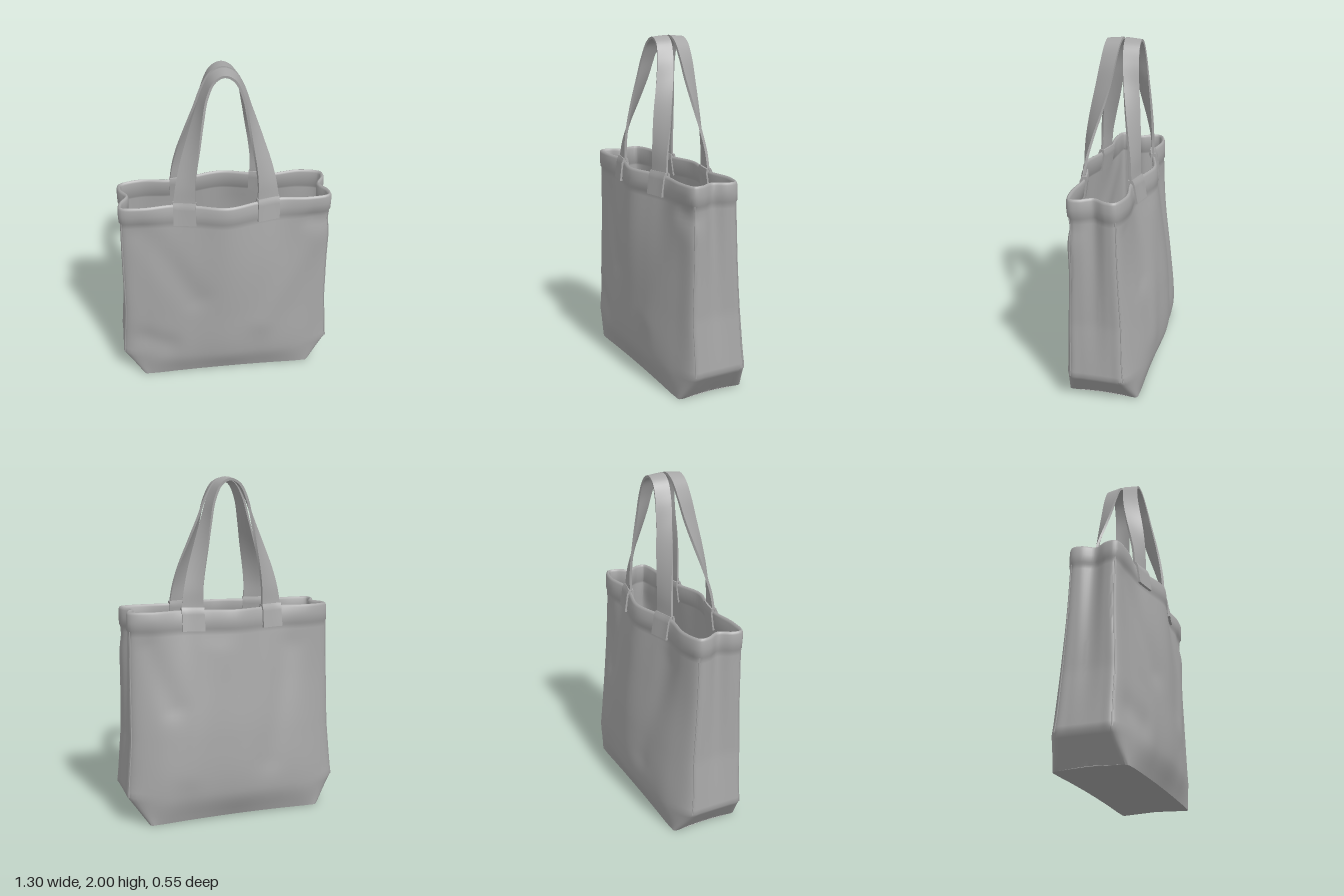
import * as THREE from 'three';
import { toCreasedNormals } from 'three/addons/utils/BufferGeometryUtils.js';

const canvas = new THREE.MeshStandardMaterial({ color: 0xa6a6a6 });
canvas.name = 'grey canvas';

// Half sections of the bag: height, front z at COLS, corner x, corner z,
// gusset dip, back corner z, back z at reversed COLS
const COLS = [0, 0.18, 0.3, 0.48];
const LEVELS = [
  [0, 0.21, 0.21, 0.21, 0.208, 0.53, 0.2, 0, -0.2, -0.208, -0.21, -0.21, -0.21],
  [0.17, 0.265, 0.255, 0.25, 0.22, 0.648, 0.165, 0, -0.148, -0.225, -0.25, -0.258, -0.27],
  [0.5, 0.27, 0.255, 0.24, 0.205, 0.62, 0.165, 0.012, -0.128, -0.195, -0.23, -0.245, -0.263],
  [0.85, 0.265, 0.24, 0.22, 0.19, 0.615, 0.157, 0.025, -0.108, -0.157, -0.178, -0.198, -0.225],
  [1.25, 0.24, 0.193, 0.167, 0.182, 0.608, 0.16, 0.042, -0.095, -0.134, -0.112, -0.138, -0.18],
];
const N = 24; // control points around each section

// Soft diagonal folds: side, start x y, end x y, width, depth
const FOLDS = [
  [1, -0.48, 1.08, -0.2, 0.62, 0.09, -0.013],
  [1, 0.52, 0.95, 0.22, 0.4, 0.09, 0.01],
  [1, -0.5, 0.3, -0.38, 0.26, 0.08, -0.013],
  [1, 0.5, 1.1, 0.58, 1.08, 0.05, -0.01],
  [-1, -0.35, 1.0, -0.2, 0.35, 0.09, -0.011],
  [-1, 0.12, 1.0, 0.3, 0.3, 0.09, 0.008],
  [-1, 0.5, 1.05, 0.38, 0.7, 0.07, -0.01],
];

function foldDepth(x, y, z) {
  let sum = 0;
  for (const [side, x0, y0, x1, y1, w, d] of FOLDS) {
    const dx = x1 - x0, dy = y1 - y0;
    const t = THREE.MathUtils.clamp(((x - x0) * dx + (y - y0) * dy) / (dx * dx + dy * dy), 0, 1);
    const dist = Math.hypot(x - x0 - t * dx, y - y0 - t * dy);
    sum += d * Math.exp(-((dist / w) ** 2)) * THREE.MathUtils.smoothstep(side * z, 0.04, 0.16);
  }
  return sum;
}

// Smooth value of one level column at height y (the corner x stays straight)
function column(k, y) {
  let i = 0;
  while (i < LEVELS.length - 2 && y > LEVELS[i + 1][0]) i++;
  const a = LEVELS[i], b = LEVELS[i + 1], h = b[0] - a[0], t = (y - a[0]) / h;
  if (k === 5) return THREE.MathUtils.lerp(a[k], b[k], t);
  const p = LEVELS[Math.max(i - 1, 0)], q = LEVELS[Math.min(i + 2, LEVELS.length - 1)];
  const ma = h * (b[k] - p[k]) / (b[0] - p[0]), mb = h * (q[k] - a[k]) / (q[0] - a[0]);
  const t2 = t * t, t3 = t2 * t;
  return (2 * t3 - 3 * t2 + 1) * a[k] + (t3 - 2 * t2 + t) * ma + (3 * t2 - 2 * t3) * b[k] + (t3 - t2) * mb;
}

const cache = new Map();
function section(y) {
  if (!cache.has(y)) {
    const c = LEVELS[0].map((_, k) => column(k, y));
    const half = COLS.map((x, i) => [x, c[1 + i]]);
    half.push([c[5] - 0.005, c[6]]);
    for (const [t, dip] of [[0.22, 0.1], [0.5, 1], [0.78, 0.1]]) {
      half.push([c[5] - dip * c[7], THREE.MathUtils.lerp(c[6], c[8], t)]);
    }
    half.push([c[5] - 0.005, c[8]]);
    COLS.slice().reverse().forEach((x, i) => half.push([x, c[9 + i]]));
    const left = half.slice(1, -1).reverse().map(([x, z]) => [-x, z]);
    const pts = [...half, ...left].map(([x, z]) => new THREE.Vector3(x, 0, z));
    cache.set(y, new THREE.CatmullRomCurve3(pts, true));
  }
  return cache.get(y);
}

// Point on the bag wall at control index u and height y, pushed out by off
function wall(u, y, off = 0) {
  const curve = section(y), at = (v) => curve.getPoint((((v + N) % N) / N));
  const p = at(u), d = at(u + 0.05).sub(at(u - 0.05)).normalize();
  const push = off + foldDepth(p.x, y, p.z);
  const lift = 0.012 * (1 - (p.x / 0.53) ** 2 * (p.z / 0.21) ** 2) * Math.max(0, 1 - y / 0.17);
  return new THREE.Vector3(p.x - d.z * push, y + lift, p.z + d.x * push);
}

// Skin over rows of points, each row a closed loop
function loft(rows, crease) {
  const n = rows[0].length, pos = [], index = [];
  rows.forEach((r) => r.forEach((p) => pos.push(p.x, p.y, p.z)));
  for (let j = 0; j < rows.length - 1; j++) {
    for (let i = 0; i < n; i++) {
      const a = j * n + i, b = j * n + (i + 1) % n;
      index.push(a, b, b + n, a, b + n, a + n);
    }
  }
  const g = new THREE.BufferGeometry();
  g.setAttribute('position', new THREE.Float32BufferAttribute(pos, 3));
  g.setIndex(index);
  return toCreasedNormals(g, crease);
}

// Closed cloth strip of even thickness around the surface P(s, t)
function slab(P, ns, nt, thick) {
  const rows = [], e = 0.004;
  const normal = (s, t) => {
    const ds = P(Math.min(s + e, 1), t).sub(P(Math.max(s - e, 0), t));
    const dt = P(s, Math.min(t + e, 1)).sub(P(s, Math.max(t - e, 0)));
    return ds.cross(dt).normalize();
  };
  const addRow = (s, h) => {
    const top = [], under = [];
    for (let j = 0; j <= nt; j++) {
      const t = j / nt, p = P(s, t), n = normal(s, t).multiplyScalar(h);
      top.push(p.clone().add(n));
      under.unshift(p.sub(n));
    }
    rows.push([...under, ...top].reverse());
  };
  addRow(0, 0);
  for (let i = 0; i <= ns; i++) addRow(i / ns, thick / 2);
  addRow(1, 0);
  return loft(rows, 0.7);
}

function bagBody() {
  // underside, closing onto its middle line
  const profile = [[0, 0, 0], [0, 0, 0.35], [0, 0, 0.7], [0, 0, 0.93]];
  for (let i = 0; i <= 40; i++) profile.push([1.135 * i / 40, 0, 1]);
  // turned hem and rounded rim
  profile.push([1.145, 0.006, 1], [1.19, 0.008, 1], [1.235, 0.007, 1], [1.246, 0.003, 1], [1.25, -0.004, 1],
    [1.246, -0.011, 1], [1.235, -0.016, 1], [1.145, -0.016, 1], [1.135, -0.009, 1]);
  // lining and inner floor
  for (let i = 20; i >= 0; i--) profile.push([0.015 + 1.11 * i / 20, -0.009, 1]);
  profile.push([0.015, -0.009, 0.7], [0.015, -0.009, 0.35], [0.015, -0.009, 0]);
  const rows = profile.map(([y, off, s]) => {
    const row = [];
    for (let i = 0; i < N * 6; i++) {
      const p = wall(i / 6, y, off);
      p.y += 0.008 * (1 - s);
      p.z *= s;
      row.push(p);
    }
    return row;
  });
  return loft(rows, 0.75);
}

// Strap edges from foot to crown: x, y, share of the foot's z that remains
const OUTER = [[0.285, 1.36, 0.92], [0.255, 1.48, 0.73], [0.207, 1.62, 0.47],
  [0.157, 1.76, 0.24], [0.115, 1.88, 0.1], [0.062, 1.968, 0.02]];
const INNER = [[0.178, 1.36, 0.97], [0.168, 1.46, 0.9], [0.146, 1.6, 0.7],
  [0.124, 1.74, 0.42], [0.098, 1.87, 0.18], [0.055, 1.958, 0.04]];

function strapEdge(table, foot, topY, topZ) {
  const half = [1.2, 1.26].map((y) => wall(foot, y, -0.004));
  const baseZ = half[1].z;
  for (const [x, y, k] of table) half.push(new THREE.Vector3(x, y, topZ + (baseZ - topZ) * k));
  const mirrored = half.slice().reverse().map((p) => new THREE.Vector3(-p.x, p.y, p.z));
  return new THREE.CatmullRomCurve3([...half, new THREE.Vector3(0, topY, topZ), ...mirrored]);
}

export function createModel() {
  const bag = new THREE.Group();
  bag.name = 'toteBag';
  const add = (geometry, name) => {
    const mesh = new THREE.Mesh(geometry, canvas);
    mesh.name = name;
    bag.add(mesh);
  };

  add(bagBody(), 'body');

  // raised seams along the gusset corners
  for (const u of [4, 8, 16, 20]) {
    const path = [];
    for (let i = 0; i <= 16; i++) path.push(wall(u, 0.17 + 0.97 * i / 16, 0));
    add(new THREE.TubeGeometry(new THREE.CatmullRomCurve3(path), 48, 0.004, 6), 'gussetSeam');
  }

  // stitched patches at the strap feet, outside and inside, closing over the rim
  for (const u of [1, 10, 13, 22]) {
    for (const [name, side] of [['outerStrapPatch', 1], ['innerStrapPatch', -1]]) {
      const off = (t) => -0.004 + side * (0.015 - 0.008 * THREE.MathUtils.smoothstep(t, 0.8, 1));
      add(slab((s, t) => wall(u - 0.03 + 1.06 * s, 1.13 + 0.135 * t, off(t)), 6, 10, 0.014), name);
    }
  }

  // straps, flat at the feet and turned level at the crown
  for (const [name, outer, inner, side] of [['frontStrap', 2, 1, 1], ['backStrap', 10, 11, -1]]) {
    const a = strapEdge(OUTER, outer, 1.993, 0.008 * side);
    const b = strapEdge(INNER, inner, 1.985, 0.098 * side);
    add(slab((s, t) => a.getPoint(s).lerp(b.getPoint(s), t), 90, 4, 0.014), name);
  }
  return bag;
}
